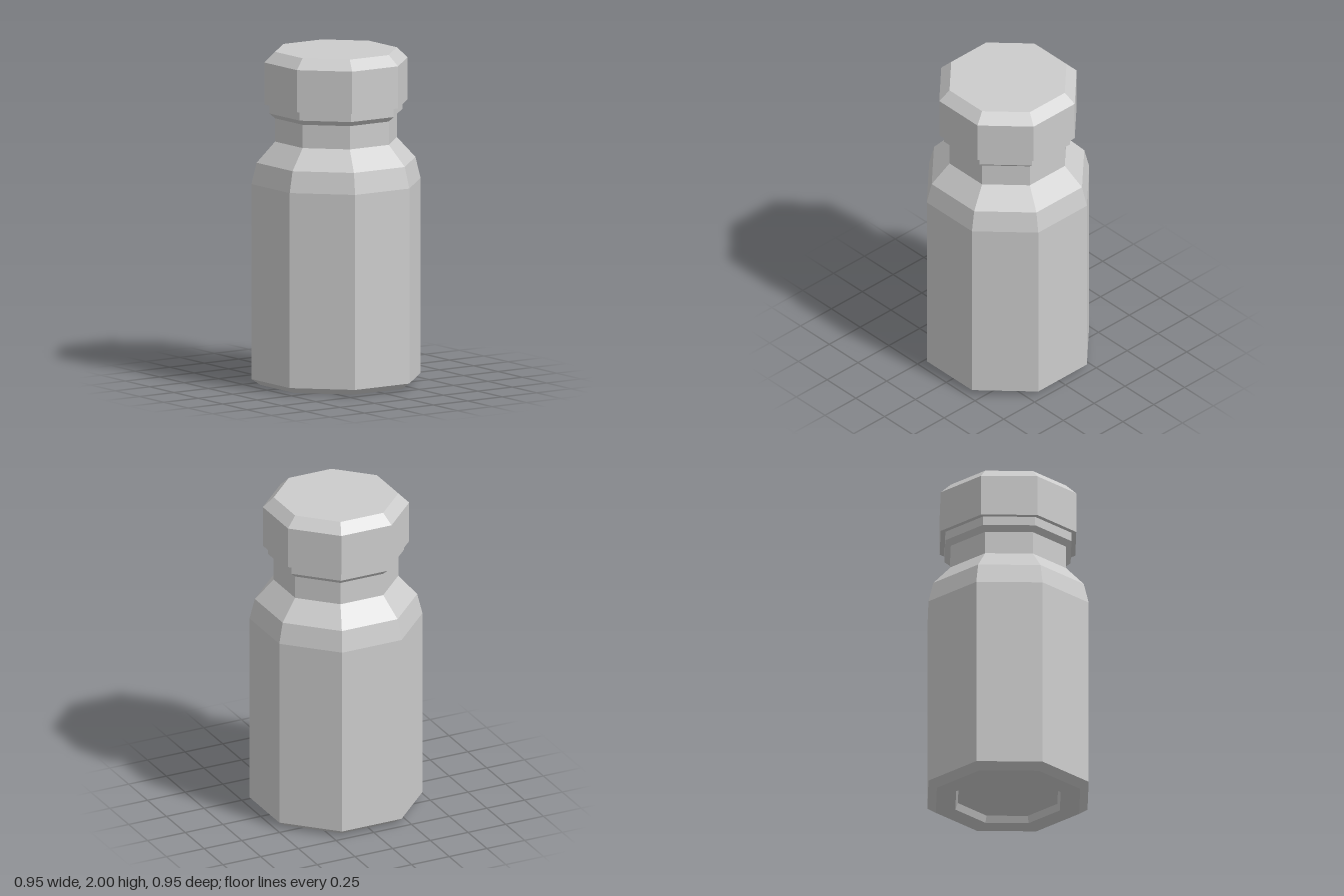
import * as THREE from 'three';

const SIDES = 8;

// Octagonal lathe: profile entries are [distance from axis to flat side, height], bottom to top.
function octagonPart(name, profile, material) {
  const toCorner = 1 / Math.cos(Math.PI / SIDES);
  const points = profile.map(([r, y]) => new THREE.Vector2(r * toCorner, y));
  const mesh = new THREE.Mesh(new THREE.LatheGeometry(points, SIDES, Math.PI / SIDES), material);
  mesh.name = name;
  return mesh;
}

export function createModel() {
  const group = new THREE.Group();
  group.name = 'bottle';
  const material = new THREE.MeshStandardMaterial({ color: 0xcccccc, flatShading: true });

  // Body with a recessed base, sloping shoulder and neck
  group.add(octagonPart('body', [
    [0, 0.04], [0.295, 0.04], [0.31, 0],
    [0.425, 0], [0.475, 0.037], [0.475, 1.21],
    [0.446, 1.337], [0.342, 1.46], [0.342, 1.6],
  ], material));

  // Collar ring around the top of the neck
  group.add(octagonPart('neckRing', [
    [0.342, 1.6], [0.374, 1.63], [0.374, 1.685],
  ], material));

  // Cap with a bevelled top edge
  group.add(octagonPart('cap', [
    [0, 1.685], [0.402, 1.685], [0.402, 1.938], [0.342, 2], [0, 2],
  ], material));

  return group;
}
